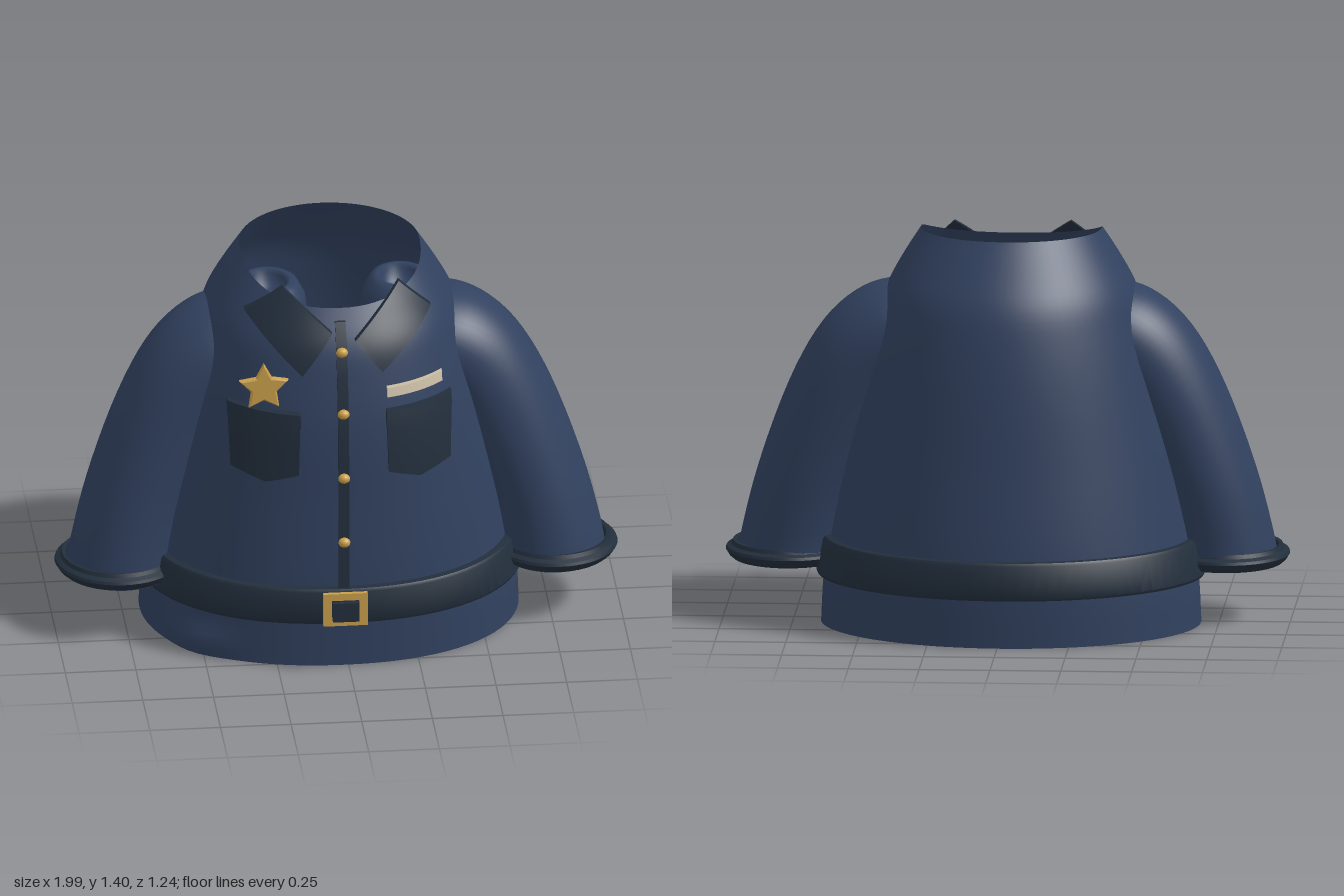
import * as THREE from 'three';
import { toCreasedNormals } from 'three/addons/utils/BufferGeometryUtils.js';

const CX = -0.017; // the torso sits a touch off centre

// height, half width, front z, back z of the torso
const TORSO = [
  [0, 0.67, 0.53, -0.58], [0.17, 0.66, 0.535, -0.59], [0.31, 0.635, 0.54, -0.59],
  [0.6, 0.585, 0.53, -0.56], [0.9, 0.52, 0.516, -0.525], [1.1, 0.468, 0.478, -0.487],
  [1.2, 0.438, 0.445, -0.452], [1.3, 0.385, 0.38, -0.385], [1.41, 0.315, 0.3, -0.305],
];
// step, centre x, y, z, tilt, radius across, radius in z of a sleeve
const SLEEVE = [
  [0, 0.765, 0.205, 0.072, 0, 0.19, 0.208], [1, 0.752, 0.3, 0.067, 0.03, 0.186, 0.208],
  [2, 0.7, 0.5, 0.05, 0.15, 0.184, 0.214], [3, 0.6, 0.76, 0.03, 0.44, 0.188, 0.222],
  [4, 0.51, 0.93, 0.018, 0.75, 0.19, 0.226], [5, 0.42, 1.02, 0.013, 1.08, 0.185, 0.226],
  [6, 0.33, 1.05, 0.01, 1.35, 0.172, 0.215], [7, 0.25, 1.06, 0.01, 1.55, 0.14, 0.15],
];

// Smooth interpolation in a table keyed by its first column
function sample(table, key) {
  let i = 0;
  while (i < table.length - 2 && key > table[i + 1][0]) i++;
  const a = table[i], b = table[i + 1], h = b[0] - a[0];
  const t = THREE.MathUtils.clamp((key - a[0]) / h, 0, 1);
  const slope = (k, c) => {
    const p = table[Math.max(k - 1, 0)], q = table[Math.min(k + 1, table.length - 1)];
    return (q[c] - p[c]) / (q[0] - p[0]);
  };
  return a.slice(1).map((v, k) => {
    const c = k + 1, t2 = t * t, t3 = t2 * t;
    return (2 * t3 - 3 * t2 + 1) * v + (t3 - 2 * t2 + t) * h * slope(i, c)
      + (3 * t2 - 2 * t3) * b[c] + (t3 - t2) * h * slope(i + 1, c);
  });
}

// Skin over closed rings; point(row, angle) returns [x, y, z]
function loft(rows, cols, point) {
  const pos = [], idx = [];
  for (let i = 0; i <= rows; i++) {
    for (let j = 0; j < cols; j++) pos.push(...point(i, (j / cols) * Math.PI * 2));
  }
  for (let i = 0; i < rows; i++) {
    for (let j = 0; j < cols; j++) {
      const a = i * cols + j, n = i * cols + ((j + 1) % cols);
      idx.push(a, a + cols, n, n, a + cols, n + cols);
    }
  }
  const g = new THREE.BufferGeometry();
  g.setAttribute('position', new THREE.Float32BufferAttribute(pos, 3));
  g.setIndex(idx);
  g.computeVertexNormals();
  return g;
}

// Point on the torso, pushed out by off; the front is a little squarer than the back
function torsoPoint(y, angle, off = 0) {
  const [rx, f, b] = sample(TORSO, y);
  const c = Math.cos(angle), s = Math.sin(angle), p = s > 0 ? 2 / 2.2 : 1;
  const x = Math.sign(c) * Math.abs(c) ** p, z = Math.sign(s) * Math.abs(s) ** p;
  return [CX + (rx + off) * x, y, (f + b) / 2 + ((f - b) / 2 + off) * z];
}

function frontZ(x, y) {
  const [rx, f, b] = sample(TORSO, y);
  const u = Math.min(Math.abs(x - CX) / rx, 1);
  return (f + b) / 2 + ((f - b) / 2) * (1 - u ** 2.2) ** (1 / 2.2);
}

// Panel lying on the chest; place(u, v) returns [x, y]
function panel(place, near, far) {
  const g = new THREE.BoxGeometry(1, 1, 1, 12, 16, 1), p = g.attributes.position;
  for (let i = 0; i < p.count; i++) {
    const [x, y] = place(p.getX(i) + 0.5, p.getY(i) + 0.5);
    p.setXYZ(i, x, y, frontZ(x, y) + (p.getZ(i) > 0 ? far : near));
  }
  g.computeVertexNormals();
  return g;
}

// Straight-sided panel from corners: bottom left, bottom right, top right, top left
const quad = (bl, br, tr, tl) => (u, v) => [0, 1].map((k) =>
  (bl[k] * (1 - u) + br[k] * u) * (1 - v) + (tl[k] * (1 - u) + tr[k] * u) * v);
const rect = (x0, x1, y0, y1) => quad([x0, y0], [x1, y0], [x1, y1], [x0, y1]);

export function createModel() {
  const group = new THREE.Group();
  const material = (name, color, side = THREE.FrontSide) => {
    const m = new THREE.MeshStandardMaterial({ color, side });
    m.name = name;
    return m;
  };
  const navy = material('navy cloth', 0x31415f, THREE.DoubleSide);
  const dark = material('dark trim', 0x222e3c, THREE.DoubleSide);
  const gold = material('gold', 0xc99f4a);
  const cream = material('cream', 0xc8bba3);
  const add = (name, geometry, mat, x = 0, y = 0, z = 0) => {
    const m = new THREE.Mesh(geometry, mat);
    m.name = name;
    m.position.set(x, y, z);
    group.add(m);
    return m;
  };

  // Torso: open shell, neckline dipping at the front, soft fold in the hem
  add('torso', loft(48, 80, (i, a) => {
    const top = 1.405 - 0.09 * Math.max(0, Math.sin(a)) ** 1.5;
    const y = (i / 48) * top;
    const fold = 0.03 * Math.exp(-(((a - 2.4) / 0.2) ** 2) - ((y - 0.05) / 0.06) ** 2);
    return torsoPoint(y, a, fold);
  }), navy);

  // Belt
  const beltSection = [[0.178, 0], [0.175, 0.022], [0.185, 0.028], [0.3, 0.028], [0.31, 0.022], [0.312, 0]];
  add('belt', toCreasedNormals(loft(5, 80, (i, a) => {
    const [y, off] = beltSection[i];
    return torsoPoint(y, a, off);
  }), 0.6), dark);

  // Buckle: square frame with a dark centre
  const square = (Type, w, h) => new Type([[-w, -h], [w, -h], [w, h], [-w, h]].map((p) => new THREE.Vector2(...p)));
  const frame = square(THREE.Shape, 0.078, 0.062);
  frame.holes.push(square(THREE.Path, 0.048, 0.036));
  add('buckleFrame', new THREE.ExtrudeGeometry(frame, { depth: 0.016, bevelEnabled: false }), gold, CX, 0.245, 0.58);
  add('buckleCentre', new THREE.BoxGeometry(0.094, 0.072, 0.018), dark, CX, 0.245, 0.612);

  // Front placket and buttons
  add('placket', panel(rect(-0.037, 0.001, 0.31, 1.28), 0.006, 0.018), dark);
  for (const y of [0.49, 0.735, 0.975, 1.19]) {
    const b = add('button', new THREE.SphereGeometry(0.021, 20, 14), gold, -0.018, y, frontZ(-0.018, y) + 0.025);
    b.scale.set(1, 0.85, 0.85);
  }

  // Collar flaps
  add('collarLeft', panel(quad([0.125, 1.115], [0.315, 1.27], [0.2, 1.375], [0.03, 1.225]), 0.005, 0.032), dark);
  add('collarRight', panel(quad([-0.345, 1.28], [-0.16, 1.11], [-0.05, 1.25], [-0.21, 1.375]), 0.005, 0.032), dark);

  // Chest pockets with pointed bottoms and flaps
  for (const [side, cx] of [['Left', 0.258], ['Right', -0.291]]) {
    add('pocket' + side, panel((u, v) => {
      const bottom = 0.71 + 0.035 * Math.abs(2 * u - 1);
      return [cx + (u - 0.5) * (0.23 + 0.012 * v), bottom + v * (0.93 - bottom)];
    }, 0, 0.022), dark);
    add('pocketFlap' + side, panel(rect(cx - 0.122, cx + 0.122, 0.922, 0.973), 0, 0.034), dark);
  }

  // Name bar, left blank
  add('nameBar', panel(rect(0.14, 0.346, 1.022, 1.054), 0.005, 0.028), cream);

  // Star badge
  const star = new THREE.Shape();
  for (let i = 0; i < 10; i++) {
    const r = i % 2 ? 0.04 : 0.082, a = Math.PI / 2 + (i * Math.PI) / 5;
    star[i ? 'lineTo' : 'moveTo'](r * Math.cos(a), r * Math.sin(a));
  }
  star.closePath();
  add('starBadge', new THREE.ExtrudeGeometry(star, {
    depth: 0.01, bevelThickness: 0.008, bevelSize: 0.007, bevelSegments: 2,
  }), gold, -0.293, 1.06, 0.452);

  // Sleeves, cuffs and the rounded shoulder ends inside the torso
  const cuffProfile = [[0.195, 0.062], [0.195, 0.002], [0.21, 0], [0.225, 0.012], [0.238, 0.032],
    [0.234, 0.042], [0.216, 0.05], [0.21, 0.064], [0.195, 0.062]];
  const shoulderProfile = [[0.13, -0.3], [0.16, -0.22], [0.168, -0.14], [0.155, -0.06], [0.125, -0.012],
    [0.095, 0], [0.078, -0.015], [0.07, -0.06], [0, -0.08]];
  const lathe = (pts) => new THREE.LatheGeometry(pts.map((p) => new THREE.Vector2(...p)), 48);
  for (const [side, s] of [['Left', 1], ['Right', -1]]) {
    add('sleeve' + side, loft(35, 48, (i, a) => {
      const [x, y, z, tilt, ra, rz] = sample(SLEEVE, i / 5);
      const r = ra * Math.cos(a);
      return [s * (x + r * Math.cos(tilt)), y + r * Math.sin(tilt), z + s * rz * Math.sin(a)];
    }), navy);
    const cuff = add('cuff' + side, toCreasedNormals(lathe(cuffProfile), 0.7), dark, s * 0.772, 0.203, 0.076);
    cuff.scale.x = 0.94;
    cuff.rotation.x = -0.03;
    const end = add('shoulderEnd' + side, lathe(shoulderProfile), navy, s * 0.235, 1.265, 0);
    end.scale.x = 0.85;
  }
  return group;
}
